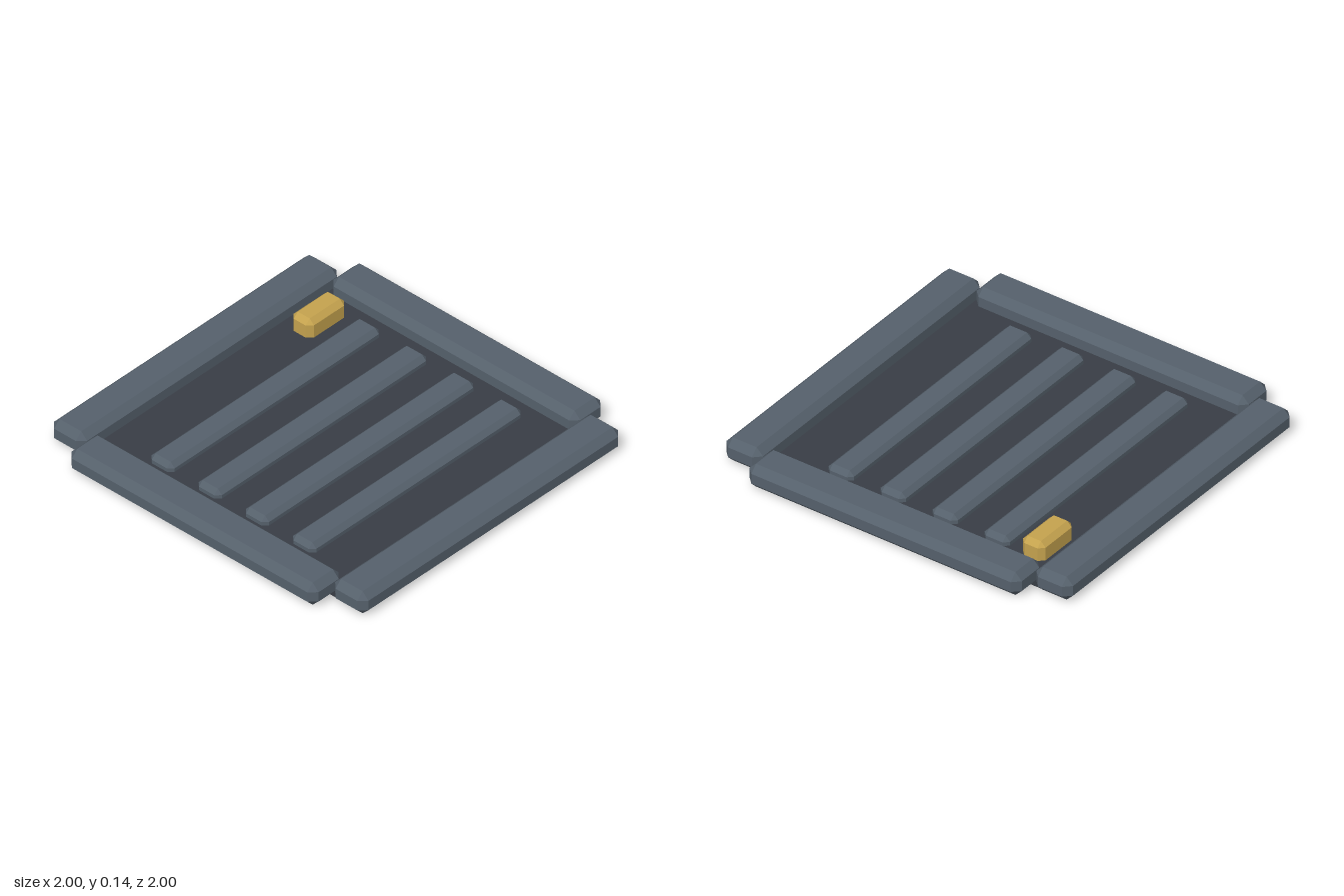
import * as THREE from 'three';
import { ConvexGeometry } from 'three/addons/geometries/ConvexGeometry.js';

const steel = new THREE.MeshStandardMaterial({ color: 0x55606b });
steel.name = 'slate steel';
const dark = new THREE.MeshStandardMaterial({ color: 0x383d45 });
dark.name = 'dark panel';
const gold = new THREE.MeshStandardMaterial({ color: 0xc4a24e });
gold.name = 'gold';

// Box with every edge cut at 45 degrees and triangular corners
function chamferedBox(w, h, d, c) {
  const points = [];
  for (const sx of [-1, 1]) for (const sy of [-1, 1]) for (const sz of [-1, 1]) {
    for (let axis = 0; axis < 3; axis++) {
      const inset = [0, 1, 2].map((i) => (i === axis ? 0 : c));
      points.push(new THREE.Vector3(
        sx * (w / 2 - inset[0]), sy * (h / 2 - inset[1]), sz * (d / 2 - inset[2])));
    }
  }
  return new ConvexGeometry(points);
}

export function createModel() {
  const model = new THREE.Group();
  model.name = 'ventHatch';

  // Adds a part resting at the given base height
  function add(name, geometry, material, x, base, z) {
    geometry.computeBoundingBox();
    const mesh = new THREE.Mesh(geometry, material);
    mesh.name = name;
    mesh.position.set(x, base - geometry.boundingBox.min.y, z);
    model.add(mesh);
  }

  // Floor panel
  add('basePanel', new THREE.BoxGeometry(1.7, 0.04, 1.7), dark, 0, 0, 0);

  // Frame rails
  for (const s of [-1, 1]) {
    add(s > 0 ? 'frontRail' : 'backRail', chamferedBox(1.78, 0.129, 0.212, 0.037), steel, 0, 0.001, s * 0.894);
    add(s > 0 ? 'leftRail' : 'rightRail', chamferedBox(0.212, 0.129, 1.57, 0.037), steel, s * 0.894, 0.001, 0);
  }

  // Four raised slats
  for (let i = 0; i < 4; i++) {
    add('slat' + (i + 1), chamferedBox(1.445, 0.084, 0.147, 0.025), steel, 0, 0.001, -0.45 + i * 0.3);
  }

  // Latch block
  add('latch', chamferedBox(0.26, 0.137, 0.13, 0.027), gold, 0.595, 0.001, -0.663);

  return model;
}
